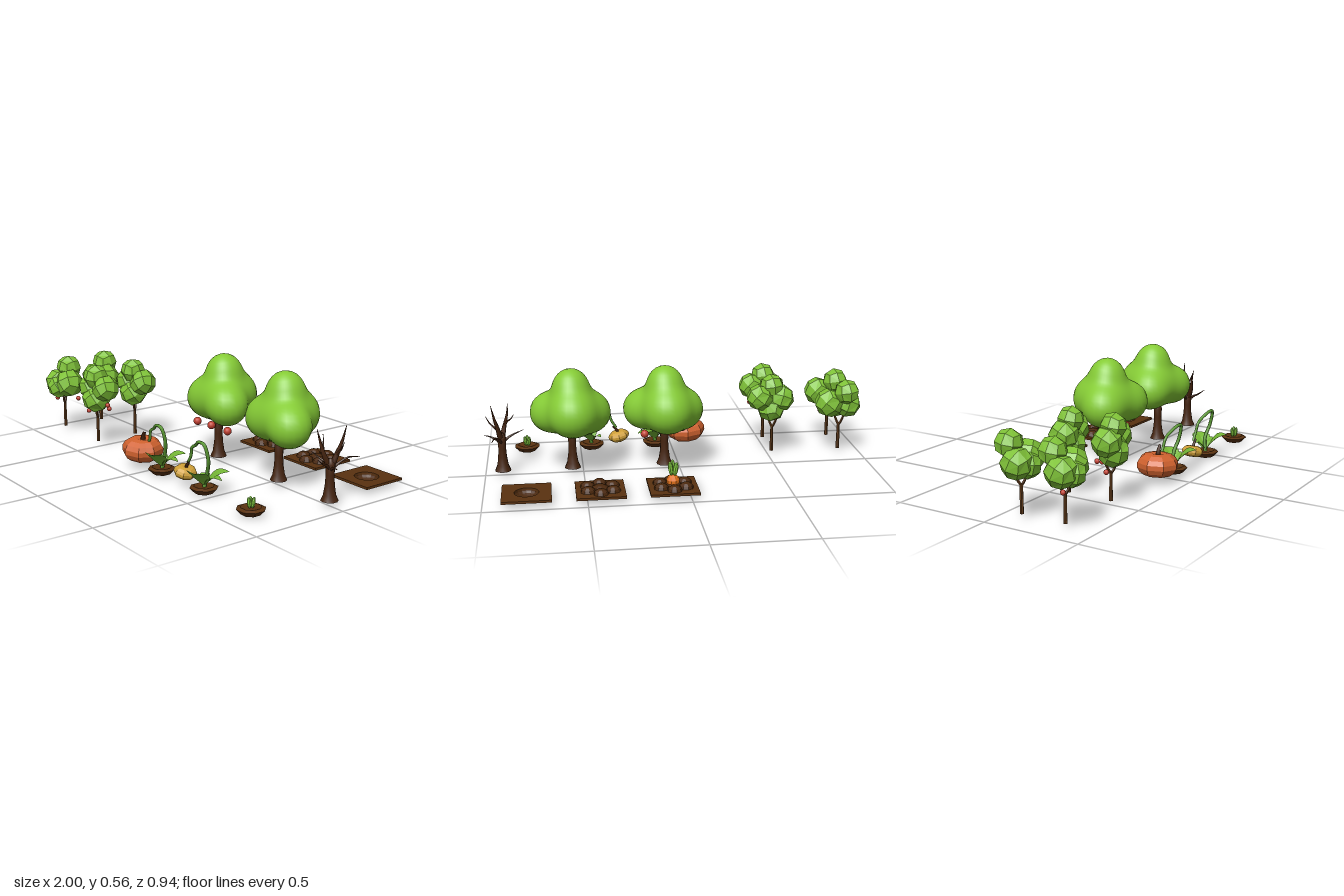
import * as THREE from 'three';
import { mergeVertices } from 'three/addons/utils/BufferGeometryUtils.js';

const V = (x, y, z) => new THREE.Vector3(x, y, z);
const mat = (color, flatShading = true, side = THREE.FrontSide) =>
  new THREE.MeshStandardMaterial({ color, flatShading, side });
const M = {
  bark: mat(0x45240f, false), soil: mat(0x5a3210), darkSoil: mat(0x4a280d), pit: mat(0x4a280d, true, THREE.DoubleSide),
  wood: mat(0x5f3a1a), crown: mat(0x86cc36, false), bush: mat(0x7fc238), vine: mat(0x5c9a34, false),
  leaf: mat(0x74b535, true, THREE.DoubleSide), apple: mat(0xc23f30, false), pumpkin: mat(0xd0622f),
  squash: mat(0xd0a038), carrot: mat(0xe07018), sprout: mat(0x84cc40),
};

function add(parent, name, geometry, material, x = 0, y = 0, z = 0) {
  const mesh = new THREE.Mesh(geometry, material);
  mesh.name = name;
  mesh.position.set(x, y, z);
  parent.add(mesh);
  return mesh;
}

function group(parent, name, x = 0, y = 0, z = 0) {
  const g = new THREE.Group();
  g.name = name;
  g.position.set(x, y, z);
  parent.add(g);
  return g;
}

// Tube along a curve whose radius runs from r0 to r1
function taperTube(points, r0, r1, sides = 7, seg = 12) {
  const curve = new THREE.CatmullRomCurve3(points.map(p => V(...p)));
  const geo = new THREE.TubeGeometry(curve, seg, 1, sides);
  const pos = geo.attributes.position, v = V(0, 0, 0);
  for (let i = 0; i < pos.count; i++) {
    const t = Math.floor(i / (sides + 1)) / seg, c = curve.getPointAt(t);
    v.fromBufferAttribute(pos, i).sub(c).multiplyScalar(r0 + (r1 - r0) * t).add(c);
    pos.setXYZ(i, v.x, v.y, v.z);
  }
  return geo;
}

// Leaf from base to tip, folded on its midrib and arched upward
function leafGeometry(base, tip, width, arch) {
  const a = V(...base), b = V(...tip), geo = new THREE.PlaneGeometry(1, 1, 2, 6);
  const side = V(b.z - a.z, 0, a.x - b.x).normalize(), pos = geo.attributes.position;
  for (let i = 0; i < pos.count; i++) {
    const u = pos.getX(i) * 2, t = pos.getY(i) + 0.5;
    const w = width * 0.5 * Math.sin(Math.PI * Math.pow(t, 0.85));
    const p = a.clone().lerp(b, t).addScaledVector(side, u * w);
    p.y += arch * Math.sin(Math.PI * t) + Math.abs(u) * w * 0.25;
    pos.setXYZ(i, p.x, p.y, p.z);
  }
  geo.computeVertexNormals();
  return geo;
}

// Smooth crown: a sphere pushed out to a soft union of lobes
function crownGeometry() {
  const lobes = [[-0.1, 0.32, 0, 0.098], [0.11, 0.32, 0.03, 0.098], [-0.005, 0.34, -0.11, 0.11],
    [0, 0.475, -0.035, 0.083], [0, 0.335, -0.01, 0.1]].map(([x, y, z, r]) => ({ c: V(x, y, z), r }));
  const dist = p => -Math.log(lobes.reduce((s, l) => s + Math.exp(-32 * (p.distanceTo(l.c) - l.r)), 0)) / 32;
  let geo = new THREE.SphereGeometry(1, 40, 28);
  geo.deleteAttribute('uv');
  geo.deleteAttribute('normal');
  geo = mergeVertices(geo, 1e-4);
  const pos = geo.attributes.position, c = V(0, 0.35, -0.02), d = V(0, 0, 0), p = V(0, 0, 0);
  for (let i = 0; i < pos.count; i++) {
    d.fromBufferAttribute(pos, i).normalize();
    let lo = 0, hi = 0.4;
    for (let k = 0; k < 18; k++) {
      const r = (lo + hi) / 2;
      if (dist(p.copy(c).addScaledVector(d, r)) < 0) lo = r; else hi = r;
    }
    p.copy(c).addScaledVector(d, lo);
    pos.setXYZ(i, p.x, p.y, p.z);
  }
  geo.computeVertexNormals();
  return geo;
}

// Faceted leaf ball: a box subdivided and rounded
function facetedBall(r) {
  const geo = new THREE.BoxGeometry(1, 1, 1, 2, 2, 2), pos = geo.attributes.position, v = V(0, 0, 0);
  for (let i = 0; i < pos.count; i++) {
    v.fromBufferAttribute(pos, i).setLength(r);
    pos.setXYZ(i, v.x, v.y, v.z);
  }
  return geo;
}

function smallTree(root, x, z, blobs, apples) {
  const g = group(root, 'smallTree', x, 0, z);
  add(g, 'trunk', taperTube([[0, 0.028, 0], [0, 0.1, 0], [0, 0.17, 0]], 0.01, 0.008, 6, 4), M.wood);
  for (const s of [-1, 1])
    add(g, 'fork', taperTube([[0, 0.16, 0], [s * 0.012, 0.19, s * 0.014], [s * 0.03, 0.25, s * 0.02]], 0.007, 0.005, 5, 4), M.wood);
  blobs.forEach(([bx, by, bz, r], i) =>
    add(g, 'leafBall', facetedBall(r), M.bush, bx, by, bz).rotation.set(0.4 + i, 0.7 * i, 0.3 - 0.5 * i));
  for (const a of apples) add(g, 'apple', new THREE.SphereGeometry(0.013, 10, 8), M.apple, ...a);
}

// Trunk with flared foot, shared by the crowned and bare trees
function trunk(g) {
  const profile = [[0.042, 0.027], [0.03, 0.055], [0.023, 0.1], [0.02, 0.15], [0.023, 0.2], [0.012, 0.225], [0, 0.23]];
  add(g, 'trunk', new THREE.LatheGeometry(profile.map(([r, y]) => new THREE.Vector2(r, y)), 10), M.bark);
}

function bareTree(root, x) {
  const g = group(root, 'bareTree', x, 0, 0);
  trunk(g);
  const limbs = [
    [[0, 0.18, 0], [-0.015, 0.25, 0.03], [-0.03, 0.31, 0.04], [-0.035, 0.365, 0.055], 0.017],
    [[0, 0.18, 0], [0.015, 0.25, -0.025], [0.03, 0.31, -0.04], [0.045, 0.385, -0.05], 0.017],
    [[0, 0.17, 0], [0.01, 0.2, -0.04], [0.03, 0.225, -0.08], [0.045, 0.22, -0.14], 0.009],
    [[0, 0.17, 0], [-0.03, 0.2, 0], [-0.06, 0.215, 0.01], [-0.11, 0.235, 0.015], 0.009],
    [[0, 0.17, 0], [0.03, 0.19, 0.015], [0.06, 0.2, 0.03], [0.09, 0.205, 0.04], 0.009],
    [[0, 0.17, 0], [0.01, 0.2, 0.03], [0.015, 0.215, 0.06], [0.02, 0.245, 0.1], 0.009],
    [[0.012, 0.24, -0.02], [0.035, 0.265, -0.02], [0.055, 0.285, -0.015], [0.075, 0.32, -0.01], 0.007],
    [[-0.015, 0.25, 0.03], [-0.03, 0.28, 0.02], [-0.05, 0.3, 0], [-0.065, 0.325, -0.01], 0.007],
  ];
  for (const l of limbs) add(g, 'branch', taperTube(l.slice(0, 4), l[4], 0.0012), M.bark);
}

function soilMound(g) {
  const profile = [[0, 0.008], [0.045, 0.008], [0.07, 0.034], [0.05, 0.042], [0.03, 0.036], [0, 0.036]];
  add(g, 'soilMound', new THREE.LatheGeometry(profile.map(([r, y]) => new THREE.Vector2(r, y)), 8, Math.PI / 8), M.soil);
}

// Ribbed gourd with a short stalk
function gourd(g, name, r, h, material, ribs, tilt, x, y) {
  const fruit = group(g, name, x, y, 0);
  fruit.rotation.z = tilt;
  const geo = new THREE.SphereGeometry(1, ribs * 2, 9), pos = geo.attributes.position;
  for (let i = 0; i < pos.count; i++) {
    const px = pos.getX(i), py = pos.getY(i), pz = pos.getZ(i), q = Math.hypot(px, pz);
    const k = r * (0.96 + 0.04 * Math.cos(ribs * Math.atan2(pz, px)));
    pos.setXYZ(i, px * k, h * (py - 0.28 * Math.sign(py) * Math.exp(-9 * q * q)), pz * k);
  }
  geo.computeVertexNormals();
  add(fruit, 'flesh', geo, material);
  add(fruit, 'stalk', taperTube([[0, h * 0.6, 0], [0.003, h * 1.0, 0], [0.016, h + 0.03, 0]], r * 0.14, 0.007, 6, 5), M.bark);
}

function vinePlant(root, x) {
  const g = group(root, 'vinePlant', x, 0, 0.36);
  soilMound(g);
  add(g, 'vine', taperTube([[0, 0.03, 0], [0.01, 0.1, -0.01], [0.04, 0.18, 0.005], [0.03, 0.25, 0.02], [-0.01, 0.255, 0.02],
    [-0.07, 0.22, 0], [-0.095, 0.205, 0], [-0.11, 0.16, -0.005], [-0.135, 0.12, -0.005]], 0.01, 0.007, 7, 40), M.vine);
  const leaves = [[[0.04, 0.13, 0.105], 0.12, 0.02], [[0.075, 0.11, -0.095], 0.1, 0.02],
    [[0.1, 0.085, -0.03], 0.06, 0.025], [[-0.05, 0.08, -0.05], 0.05, 0.02]];
  for (const [tip, w, arch] of leaves) add(g, 'leaf', leafGeometry([0, 0.04, 0], tip, w, arch), M.leaf);
  return g;
}

// Square bed of soil; an empty one has a hollow in the middle
function soilBed(root, x, planted) {
  const g = group(root, 'soilBed', x, 0, -0.357);
  if (planted) {
    add(g, 'plate', new THREE.BoxGeometry(0.24, 0.012, 0.236), M.soil, 0, 0.031, 0);
    for (let i = 0; i < 6; i++) {
      const a = (i + 0.5) * Math.PI / 3;
      add(g, 'clod', new THREE.SphereGeometry(0.037, 9, 6), M.darkSoil, 0.07 * Math.cos(a), 0.037, 0.07 * Math.sin(a)).scale.y = 0.75;
    }
    add(g, 'middleClod', new THREE.SphereGeometry(0.045, 9, 6), M.darkSoil, 0, 0.037, 0).scale.y = 0.5;
  } else {
    const s = new THREE.Shape([[-1, -1], [1, -1], [1, 1], [-1, 1]].map(([u, v]) => new THREE.Vector2(u * 0.12, v * 0.118)));
    s.holes.push(new THREE.Path().absarc(0, 0, 0.06, 0, Math.PI * 2, true));
    const geo = new THREE.ExtrudeGeometry(s, { depth: 0.012, bevelEnabled: false, curveSegments: 8 }).rotateX(-Math.PI / 2);
    add(g, 'plate', geo, M.soil, 0, 0.025, 0);
    const bowl = new THREE.SphereGeometry(0.062, 16, 5, 0, Math.PI * 2, Math.PI / 2, Math.PI / 2);
    add(g, 'hollow', bowl, M.pit, 0, 0.032, 0).scale.y = 0.5;
  }
  return g;
}

// Tuft of rounded blades
function tuft(g, y, h, r, count) {
  for (let i = 0; i < count; i++) {
    const a = i * Math.PI * 2 / count + Math.PI / 2, c = Math.cos(a), s = Math.sin(a);
    const blade = add(g, 'blade', new THREE.SphereGeometry(1, 7, 6), M.sprout, c * r, y + h * (0.5 - 0.06 * (i % 2)), s * r);
    blade.scale.set(r * 0.95, h * 0.5, r * 0.95);
    blade.rotation.set(s * 0.15, 0, -c * 0.15);
  }
}

export function createModel() {
  const root = new THREE.Group();
  root.name = 'garden';

  // Small faceted trees, the front pair bearing fruit
  const shapeA = [[-0.045, 0.275, 0.01, 0.076], [0.055, 0.285, 0, 0.079], [-0.025, 0.355, -0.045, 0.068], [0.005, 0.26, 0.035, 0.065]];
  const shapeB = [[-0.045, 0.32, 0.005, 0.074], [0.07, 0.33, -0.01, 0.072], [0.005, 0.385, 0.01, 0.066], [0.005, 0.265, 0.01, 0.076]];
  smallTree(root, -0.88, 0.12, shapeA, []);
  smallTree(root, -0.88, 0.355, shapeA, [[-0.045, 0.185, 0.02], [0.055, 0.19, -0.055]]);
  smallTree(root, -0.515, 0.125, shapeB, []);
  smallTree(root, -0.515, 0.36, shapeB, [[-0.095, 0.24, -0.015], [0.08, 0.24, -0.015], [-0.065, 0.185, 0.015], [0.02, 0.2, -0.06]]);

  // Large trees with smooth crowns
  const crown = crownGeometry();
  for (const x of [0.08, 0.555]) {
    const g = group(root, 'largeTree', x, 0, 0);
    trunk(g);
    add(g, 'crown', crown, M.crown);
    if (x < 0.1)
      for (const a of [[-0.1, 0.2, 0.06], [0.005, 0.2, 0.05], [0.1, 0.185, 0.02]])
        add(g, 'apple', new THREE.SphereGeometry(0.021, 14, 10), M.apple, ...a);
  }
  bareTree(root, 0.91);

  // Vine plants with their fruit, and a seedling
  gourd(vinePlant(root, 0.09), 'pumpkin', 0.107, 0.068, M.pumpkin, 8, -0.06, -0.17, 0.092);
  gourd(vinePlant(root, 0.44), 'squash', 0.058, 0.034, M.squash, 8, -0.25, -0.15, 0.07);
  const seedling = group(root, 'seedling', 0.79, 0, 0.36);
  soilMound(seedling);
  tuft(seedling, 0.035, 0.055, 0.011, 3);

  // Beds: one with a carrot, one sown, one empty
  const bed = soilBed(root, 0.08, true);
  add(bed, 'carrot', new THREE.SphereGeometry(0.034, 10, 7), M.carrot, 0, 0.062, 0);
  tuft(bed, 0.09, 0.075, 0.014, 3);
  soilBed(root, 0.435, true);
  soilBed(root, 0.79, false);
  return root;
}
